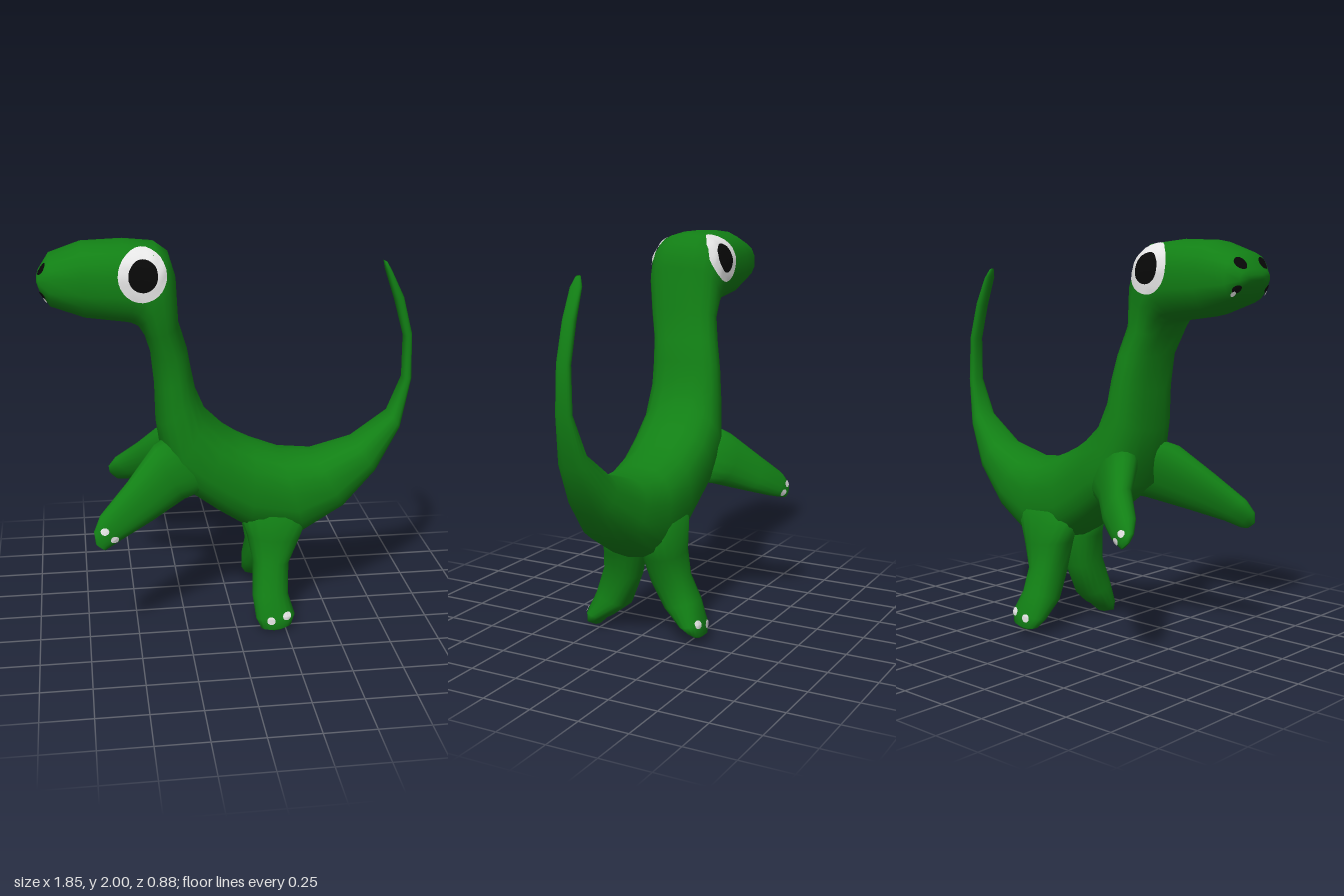
import * as THREE from 'three';

const green = new THREE.MeshStandardMaterial({ color: 0x128015 });
green.name = 'skinGreen';
const white = new THREE.MeshStandardMaterial({ color: 0xf2f2f2 });
white.name = 'white';
const black = new THREE.MeshStandardMaterial({ color: 0x080808 });
black.name = 'black';

const SIDES = 18;

// Skin over rings [upperX, upperY, lowerX, lowerY, z, halfWidth, sideTilt], closed at both ends
function loft(name, rings, roundness = 0.88) {
  const pos = [], index = [];
  const soft = (v) => Math.sign(v) * Math.pow(Math.abs(v), roundness);
  for (const [ax, ay, bx, by, z, w, tilt = 0] of rings) {
    const cx = (ax + bx) / 2, cy = (ay + by) / 2;
    for (let i = 0; i < SIDES; i++) {
      const t = (i / SIDES) * Math.PI * 2;
      const c = soft(Math.cos(t)), s = soft(Math.sin(t));
      pos.push(cx + (c * (ax - bx)) / 2, cy + (c * (ay - by)) / 2 + s * tilt, z + s * w);
    }
  }
  for (let r = 0; r < rings.length - 1; r++) {
    for (let i = 0; i < SIDES; i++) {
      const a = r * SIDES + i, b = r * SIDES + ((i + 1) % SIDES);
      index.push(a, a + SIDES, b, b, a + SIDES, b + SIDES);
    }
  }
  // End caps
  for (const end of [0, rings.length - 1]) {
    const [ax, ay, bx, by, z] = rings[end];
    const centre = pos.length / 3;
    pos.push((ax + bx) / 2, (ay + by) / 2, z);
    for (let i = 0; i < SIDES; i++) {
      const a = end * SIDES + i, b = end * SIDES + ((i + 1) % SIDES);
      if (end === 0) index.push(centre, a, b);
      else index.push(centre, b, a);
    }
  }
  const geo = new THREE.BufferGeometry();
  geo.setAttribute('position', new THREE.Float32BufferAttribute(pos, 3));
  geo.setIndex(index);
  geo.computeVertexNormals();
  const mesh = new THREE.Mesh(geo, green);
  mesh.name = name;
  mesh.updateMatrixWorld();
  return mesh;
}

// Thin round patch laid on a mesh, projected along dir from the given point
function patch(name, target, material, centre, dir, rx, ry, lift = 0.005) {
  const d = new THREE.Vector3(...dir);
  const up = new THREE.Vector3(0, 1, 0);
  const right = new THREE.Vector3().crossVectors(d, up);
  const ray = new THREE.Raycaster();
  const pos = [], index = [], ok = [];
  const N = 28, R = 6;
  for (let r = 0; r <= R; r++) {
    for (let i = 0; i < N; i++) {
      const t = (i / N) * Math.PI * 2;
      const start = new THREE.Vector3(...centre)
        .addScaledVector(right, (Math.cos(t) * rx * r) / R)
        .addScaledVector(up, (Math.sin(t) * ry * r) / R)
        .addScaledVector(d, -2);
      ray.set(start, d);
      const hit = ray.intersectObject(target)[0];
      ok.push(!!hit);
      const p = hit ? hit.point.addScaledVector(hit.face.normal, lift) : start;
      pos.push(p.x, p.y, p.z);
    }
  }
  const tri = (a, b, c) => { if (ok[a] && ok[b] && ok[c]) index.push(a, b, c); };
  for (let r = 0; r < R; r++) {
    for (let i = 0; i < N; i++) {
      const a = r * N + i, b = r * N + ((i + 1) % N);
      tri(a, a + N, b + N);
      if (r > 0) tri(a, b + N, b);
    }
  }
  const geo = new THREE.BufferGeometry();
  geo.setAttribute('position', new THREE.Float32BufferAttribute(pos, 3));
  geo.setIndex(index);
  geo.computeVertexNormals();
  const mesh = new THREE.Mesh(geo, material);
  mesh.name = name;
  return mesh;
}

export function createModel() {
  const group = new THREE.Group();
  group.name = 'dinosaur';

  // Tail, trunk, neck and head as one skin, from tail tip to snout
  const body = loft('body', [
    [0.755, 1.855, 0.775, 1.845, 0.025, 0.012],
    [0.765, 1.81, 0.80, 1.80, 0.025, 0.03],
    [0.82, 1.65, 0.865, 1.67, 0.025, 0.033],
    [0.872, 1.47, 0.915, 1.48, 0.025, 0.036],
    [0.875, 1.25, 0.922, 1.25, 0.025, 0.042],
    [0.81, 1.07, 0.87, 0.99, 0.02, 0.075],
    [0.63, 0.93, 0.75, 0.76, 0.01, 0.125],
    [0.42, 0.87, 0.58, 0.58, 0.015, 0.18],
    [0.25, 0.885, 0.37, 0.45, 0.01, 0.205],
    [0.11, 0.94, 0.08, 0.49, 0.01, 0.212],
    [0.04, 0.975, -0.07, 0.59, 0.015, 0.215],
    [-0.03, 1.02, -0.19, 0.68, 0.015, 0.22],
    [-0.13, 1.12, -0.34, 0.80, 0.02, 0.215],
    [-0.18, 1.24, -0.38, 1.08, 0.025, 0.195],
    [-0.20, 1.34, -0.383, 1.27, 0.03, 0.187],
    [-0.22, 1.45, -0.40, 1.44, 0.045, 0.177],
    [-0.265, 1.60, -0.43, 1.54, 0.075, 0.182],
    [-0.275, 1.82, -0.465, 1.595, 0.08, 0.198],
    [-0.31, 1.94, -0.50, 1.61, 0.08, 0.203],
    [-0.37, 1.985, -0.53, 1.615, 0.08, 0.204],
    [-0.52, 2.0, -0.58, 1.622, 0.08, 0.204],
    [-0.72, 1.993, -0.71, 1.64, 0.08, 0.195],
    [-0.87, 1.94, -0.87, 1.70, 0.08, 0.172],
    [-0.922, 1.86, -0.915, 1.775, 0.08, 0.12],
    [-0.93, 1.835, -0.928, 1.81, 0.08, 0.06],
  ], 0.82);
  group.add(body);

  // Arms
  const leftArm = loft('leftArm', [
    [-0.26, 1.04, -0.08, 0.74, 0.07, 0.13],
    [-0.40, 0.99, -0.25, 0.71, 0.16, 0.11],
    [-0.54, 0.85, -0.42, 0.65, 0.28, 0.075],
    [-0.68, 0.72, -0.57, 0.60, 0.37, 0.05],
    [-0.712, 0.655, -0.64, 0.57, 0.405, 0.03],
    [-0.705, 0.60, -0.66, 0.565, 0.425, 0.012],
  ]);
  const rightArm = loft('rightArm', [
    [-0.26, 1.04, -0.08, 0.74, -0.05, 0.13],
    [-0.37, 0.96, -0.23, 0.71, -0.15, 0.115],
    [-0.46, 0.84, -0.35, 0.66, -0.28, 0.08],
    [-0.575, 0.73, -0.47, 0.615, -0.37, 0.06],
    [-0.61, 0.67, -0.54, 0.595, -0.41, 0.03],
    [-0.605, 0.63, -0.56, 0.59, -0.425, 0.012],
  ]);

  // Legs, splayed outward; the right foot stands slightly higher
  const leg = (name, s, lift) => loft(name, [
    [0.01, 0.64, 0.42, 0.62, s * 0.10, 0.10],
    [0.07, 0.47, 0.345, 0.44, s * 0.112, 0.10],
    [0.10, 0.32, 0.285, 0.31, s * 0.137, 0.098, s * 0.02],
    [0.09, 0.16 + lift, 0.275, 0.16 + lift, s * 0.198, 0.088, s * 0.03],
    [0.10, 0.06 + lift, 0.30, 0.075 + lift, s * 0.268, 0.058, s * 0.012],
    [0.12, 0.02 + lift, 0.28, 0.035 + lift, s * 0.288, 0.04, -s * 0.008],
    [0.17, 0.003 + lift, 0.23, 0.006 + lift, s * 0.293, 0.018],
  ]);
  const leftLeg = leg('leftLeg', 1, 0);
  const rightLeg = leg('rightLeg', -1, 0.03);
  group.add(leftArm, rightArm, leftLeg, rightLeg);

  // Eyes, claws, nostrils and mouth corners on both sides
  for (const s of [1, -1]) {
    const side = s > 0 ? 'left' : 'right';
    const inward = [0, 0, -s];
    const add = (part, ...args) => group.add(patch(side + part, ...args));
    add('Eye', body, white, [-0.443, 1.86, 0], inward, 0.113, 0.119);
    add('Pupil', body, black, [-0.44, 1.86, 0], inward, 0.068, 0.072, 0.009);

    const arm = s > 0 ? leftArm : rightArm;
    const armClaws = s > 0 ? [[-0.66, 0.66], [-0.615, 0.615]] : [[-0.565, 0.665], [-0.53, 0.625]];
    for (const [x, y] of armClaws) add('HandClaw', arm, white, [x, y, 0], inward, 0.02, 0.017);

    const foot = s > 0 ? leftLeg : rightLeg;
    const up = s > 0 ? 0 : 0.03;
    for (const [x, y] of [[0.17, 0.066], [0.25, 0.086]])
      add('FootClaw', foot, white, [x, y + up, 0], inward, 0.021, 0.02);

    const forward = [1, 0, 0];
    add('Nostril', body, black, [0, 1.885, 0.075 + s * 0.085], forward, 0.034, 0.027);
    add('MouthCorner', body, black, [0, 1.772, 0.08 + s * 0.115], forward, 0.022, 0.018);
    add('Tooth', body, white, [0, 1.752, 0.08 + s * 0.125], forward, 0.012, 0.012, 0.008);
  }
  return group;
}
